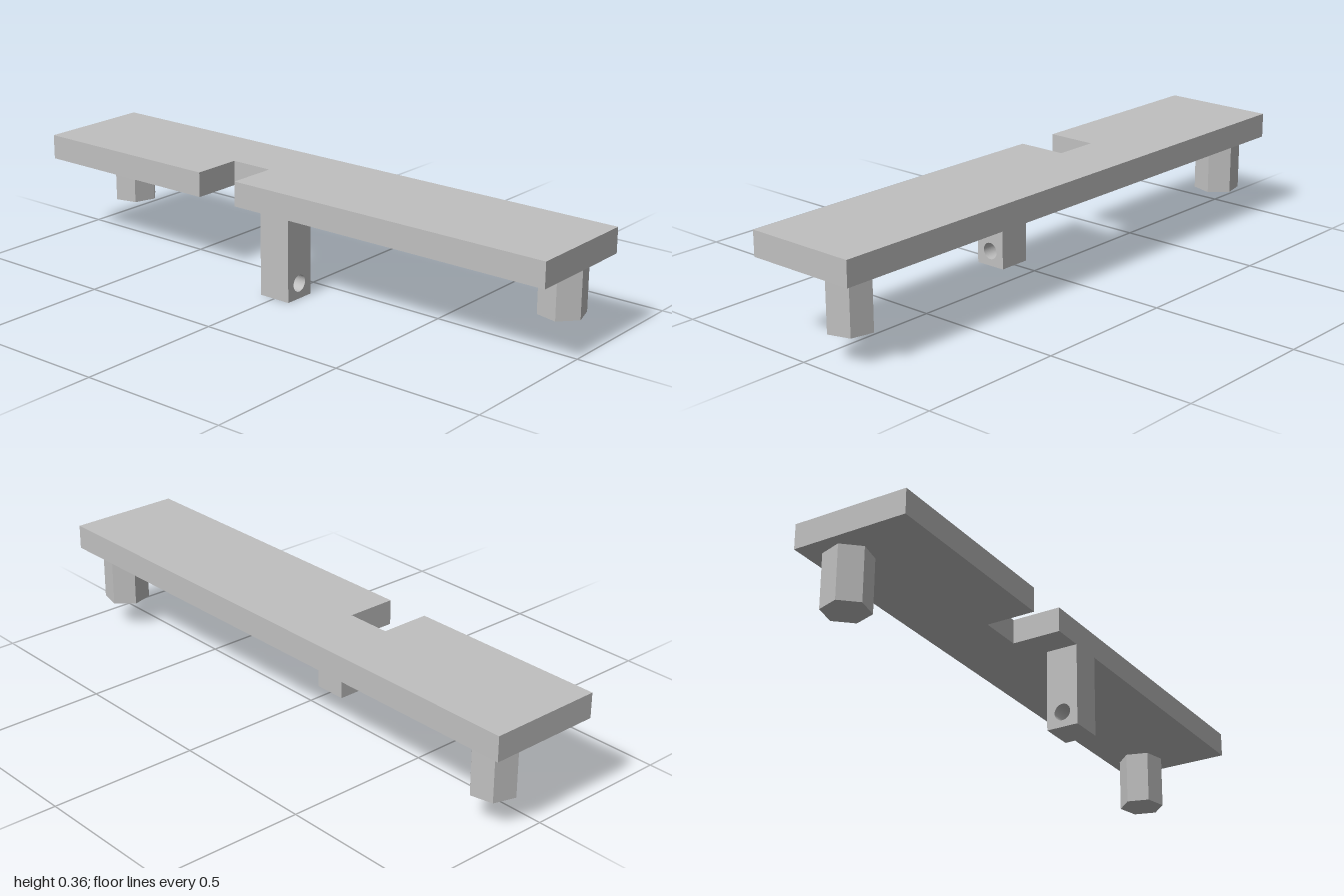
import * as THREE from 'three';

export function createModel() {
  const group = new THREE.Group();
  const grey = new THREE.MeshStandardMaterial({ color: 0xc0c0c0 });
  grey.name = 'plain grey';

  const add = (name, geometry) => {
    const mesh = new THREE.Mesh(geometry, grey);
    mesh.name = name;
    group.add(mesh);
    return mesh;
  };
  const polygon = (points) => new THREE.Shape(points.map(([x, y]) => new THREE.Vector2(x, y)));
  const extrude = (shape, depth) =>
    new THREE.ExtrudeGeometry(shape, { depth, bevelEnabled: false, curveSegments: 32 });

  const left = 0.194, right = -0.194;
  const underside = 0.274, top = 0.357;

  // Long plate with a rectangular notch in its right edge (outline y is -z)
  const plate = extrude(polygon([
    [right, -1], [left, -1], [left, 1], [right, 1],
    [right, 0.315], [-0.026, 0.315], [-0.026, 0.163], [right, 0.163],
  ]), top - underside);
  plate.rotateX(-Math.PI / 2).translate(0, underside, 0);
  add('plate', plate);

  // Lug hanging under the right edge, drilled front to back
  const lugShape = polygon([[right, 0], [-0.085, 0], [-0.085, underside], [right, underside]]);
  lugShape.holes.push(new THREE.Path().absarc(-0.14, 0.051, 0.028, 0, Math.PI * 2, true));
  add('drilledLug', extrude(lugShape, 0.114).translate(0, 0, -0.055));

  // Hexagonal legs, turned in opposite directions at the two ends
  const legBottom = 0.093;
  const legHeight = underside - legBottom;
  for (const [name, z, turn] of [['frontLeg', 0.891, 47.1], ['backLeg', -0.888, 12.9]]) {
    const leg = new THREE.CylinderGeometry(
      0.0767, 0.0767, legHeight, 6, 1, false, THREE.MathUtils.degToRad(turn)
    ).toNonIndexed();
    leg.computeVertexNormals();
    add(name, leg).position.set(0.0825, legBottom + legHeight / 2, z);
  }

  return group;
}
